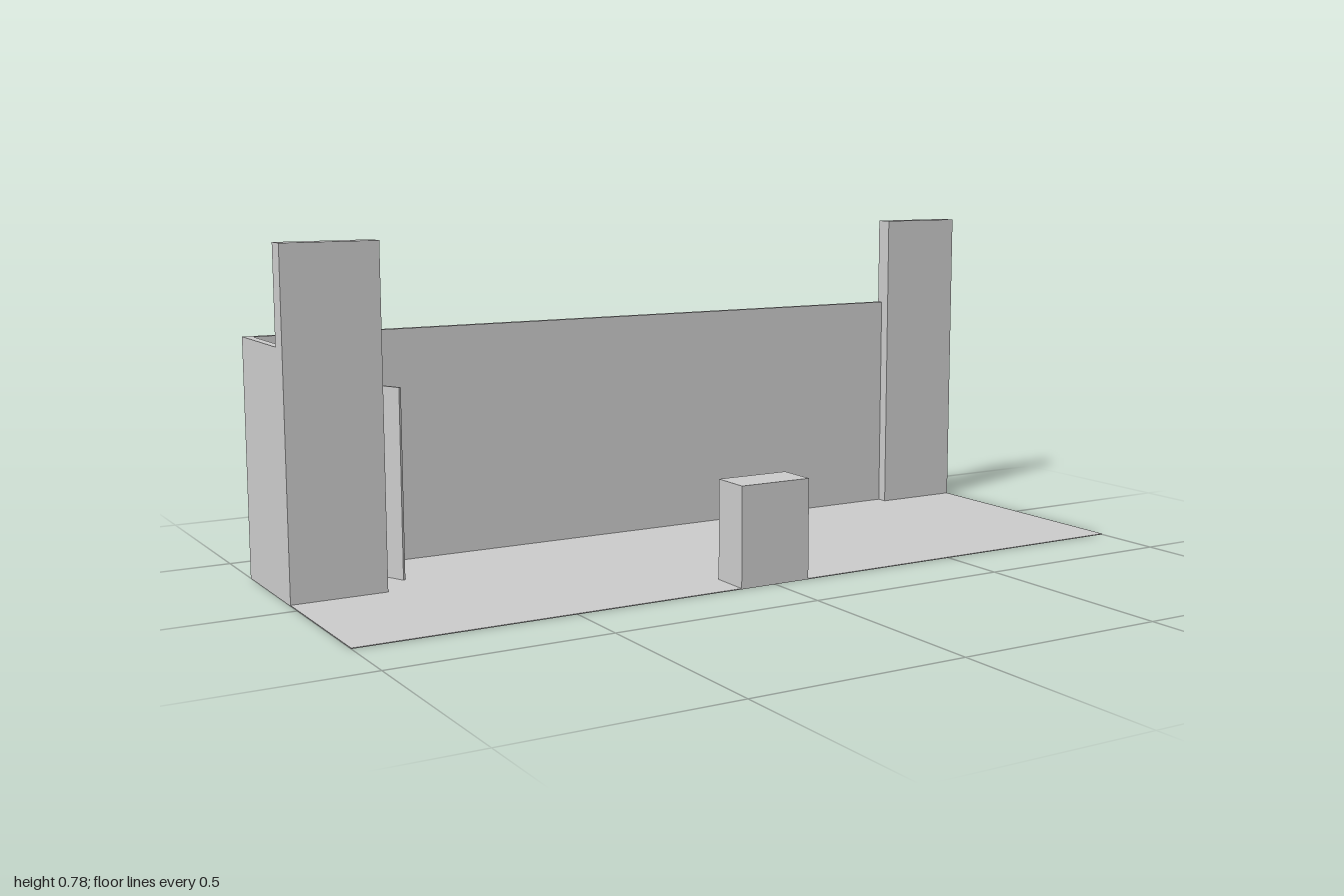
import * as THREE from 'three';

const material = new THREE.MeshStandardMaterial({ color: 0xcccccc, flatShading: true });

// Box given by its limits on each axis
function block(parent, name, [x0, x1], [y0, y1], [z0, z1]) {
  const mesh = new THREE.Mesh(new THREE.BoxGeometry(x1 - x0, y1 - y0, z1 - z0), material);
  mesh.name = name;
  mesh.position.set((x0 + x1) / 2, (y0 + y1) / 2, (z0 + z1) / 2);
  parent.add(mesh);
  return mesh;
}

function part(parent, name) {
  const group = new THREE.Group();
  group.name = name;
  parent.add(group);
  return group;
}

export function createModel() {
  const model = new THREE.Group();
  model.name = 'stageSet';

  const back = -0.333, wallFront = -0.317, wallTop = 0.557, towerTop = 0.78;
  const floorTop = 0.002, bays = 18, stud = 0.01, plate = 0.01;
  const pitch = (2 - stud) / bays;
  const towerX = 0.778, towerFront = -0.29, skin = 0.004;

  block(model, 'floor', [-1, 1], [0, floorTop], [back, 0.333]);

  // Back wall: thin front panel on a timber frame
  const wall = part(model, 'backWall');
  block(wall, 'wallPanel', [-1, towerX], [floorTop, wallTop], [wallFront - skin, wallFront]);
  block(wall, 'bottomPlate', [-1, towerX], [floorTop, floorTop + plate], [back, wallFront - skin]);
  block(wall, 'topPlate', [-1, towerX], [wallTop - plate, wallTop], [back, wallFront - skin]);
  for (let i = 0; i <= bays - 2; i++) {
    const x = -1 + i * pitch;
    block(wall, 'stud', [x, x + stud], [floorTop + plate, wallTop - plate], [back, wallFront - skin]);
  }

  // Left tower: solid above, open framing behind the lower front
  const tower = part(model, 'leftTower');
  const inside = towerFront - skin;
  block(tower, 'towerHead', [towerX, 1], [wallTop, towerTop], [back, towerFront]);
  block(tower, 'towerPanel', [towerX, 1], [floorTop, wallTop], [inside, towerFront]);
  block(tower, 'bottomPlate', [towerX, 1], [floorTop, floorTop + plate], [back, inside]);
  block(tower, 'topPlate', [towerX, 1], [wallTop - plate, wallTop], [back, inside]);
  for (const x of [towerX, 1 - stud - pitch, 1 - stud]) {
    block(tower, 'stud', [x, x + stud], [floorTop + plate, wallTop - plate], [back, inside]);
  }

  // Right booth: tall front, outer side wall and inner wall with a doorway, open on top
  const booth = part(model, 'rightBooth');
  const boothBack = -0.09, doorTop = 0.447, hingeZ = -0.29, jambZ = -0.113;
  block(booth, 'boothFront', [-1, -0.778], [floorTop, towerTop], [boothBack, -0.045]);
  block(booth, 'outerWall', [-1, -0.98], [floorTop, wallTop], [wallFront, boothBack]);
  const inner = [-0.798, -0.78];
  block(booth, 'doorHeader', inner, [doorTop, wallTop], [wallFront, boothBack]);
  block(booth, 'hingeJamb', inner, [floorTop, doorTop], [wallFront, hingeZ]);
  block(booth, 'latchJamb', inner, [floorTop, doorTop], [jambZ, boothBack]);

  // Door standing ajar, turning about its back edge
  const hinge = part(booth, 'door');
  hinge.position.set(-0.779, 0, hingeZ);
  hinge.rotation.y = Math.atan2(0.072, 0.16);
  block(hinge, 'doorLeaf', [-0.003, 0.003], [floorTop, 0.445], [0, 0.176]);

  block(model, 'frontBox', [-0.09, 0.09], [floorTop, 0.235], [0.235, 0.333]);

  return model;
}
